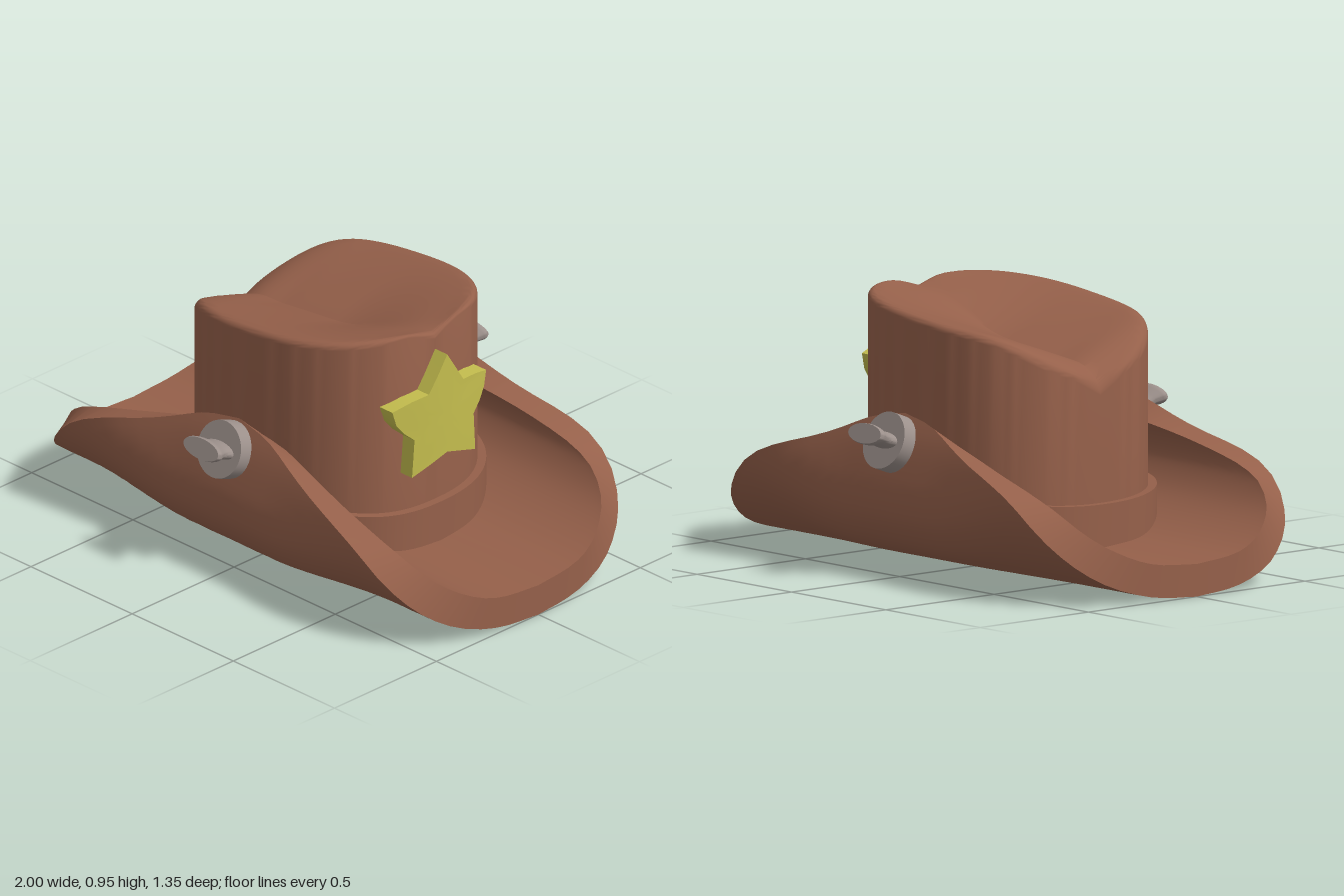
import * as THREE from 'three';
import { toCreasedNormals } from 'three/addons/utils/BufferGeometryUtils.js';

const N = 96; // points around the large rings
const brown = new THREE.MeshStandardMaterial({ color: 0x95604a });
const inside = new THREE.MeshStandardMaterial({ color: 0x95604a, side: THREE.DoubleSide });
const yellow = new THREE.MeshStandardMaterial({ color: 0xc4bd4e });
const grey = new THREE.MeshStandardMaterial({ color: 0x9c908b });
const { lerp, smoothstep } = THREE.MathUtils;
const V = (x, y, z = 0) => new THREE.Vector3(x, y, z);
const curve = pts => new THREE.CatmullRomCurve3(pts.map(p => V(p[0], p[1])));

function add(parent, name, geo, mat) {
  const m = new THREE.Mesh(geo, mat);
  m.name = name;
  parent.add(m);
  return m;
}

// Skin a list of closed rings (outward when the rings go upwards)
function loft(rings, crease = 0.6) {
  const pos = [];
  const tri = (a, b, c) => {
    if (a.distanceTo(b) < 1e-6 || b.distanceTo(c) < 1e-6 || a.distanceTo(c) < 1e-6) return;
    for (const p of [a, b, c]) pos.push(p.x, p.y, p.z);
  };
  for (let i = 0; i + 1 < rings.length; i++) {
    const lo = rings[i], hi = rings[i + 1];
    for (let j = 0; j < lo.length; j++) {
      const k = (j + 1) % lo.length;
      tri(lo[j], hi[j], lo[k]);
      tri(lo[k], hi[j], hi[k]);
    }
  }
  const g = new THREE.BufferGeometry();
  g.setAttribute('position', new THREE.Float32BufferAttribute(pos, 3));
  g.computeVertexNormals();
  return toCreasedNormals(g, crease);
}

// Rounded oval ring with height given by a function of x and z
function oval(a, b, height, n = 2.6) {
  return Array.from({ length: N }, (_, j) => {
    const t = (j / N) * Math.PI * 2;
    const f = v => (Math.abs(v) < 1e-9 ? 0 : Math.sign(v) * Math.abs(v) ** (2 / n));
    const x = a * f(Math.cos(t)), z = b * f(Math.sin(t));
    return V(x, height(x, z), z);
  });
}

// Brim: an oval sheet with a hole, curled up at both sides
function brimGeometry() {
  // half cross-sections (z, y): under face at the ends and in the middle, and upper face
  const underEnd = curve([[0, 0], [0.2, 0.018], [0.38, 0.075], [0.5, 0.16], [0.57, 0.26],
    [0.592, 0.36], [0.578, 0.46], [0.54, 0.525], [0.475, 0.575]]);
  const underMid = curve([[0, 0], [0.2, 0.018], [0.39, 0.06], [0.51, 0.11], [0.567, 0.2],
    [0.572, 0.29], [0.55, 0.39], [0.517, 0.49], [0.475, 0.575]]);
  const upper = curve([[0, 0.115], [0.2, 0.135], [0.33, 0.185], [0.42, 0.25], [0.468, 0.32],
    [0.482, 0.37], [0.468, 0.42], [0.435, 0.465], [0.395, 0.5]]);
  // quarter outline of the flat sheet: (x, distance along the cross-section)
  const outline = curve([[1, 0], [0.997, 0.08], [0.98, 0.18], [0.93, 0.3], [0.85, 0.435],
    [0.7, 0.61], [0.5, 0.745], [0.3, 0.87], [0.15, 0.96], [0, 1]]);
  const ring = (isUnder, r) => Array.from({ length: N }, (_, j) => {
    const q = (4 * j) / N, quad = Math.floor(q), f = q - quad;
    const u = quad % 2 ? 1 - f : f;
    const sx = quad === 1 || quad === 2 ? -1 : 1, sz = quad > 1 ? -1 : 1;
    const o = outline.getPoint(u);
    const x = lerp(0.44 * Math.cos(u * Math.PI / 2), o.x, r);
    const t = Math.min(1, lerp((isUnder ? 0.23 : 0.29) * Math.sin(u * Math.PI / 2), o.y, r));
    const p = isUnder
      ? underEnd.getPoint(t).lerp(underMid.getPoint(t), 1 - smoothstep(x, 0.2, 0.75))
      : upper.getPoint(t);
    return V(sx * x, p.y, sz * p.x);
  });
  const steps = Array.from({ length: 21 }, (_, i) => i / 20);
  const rings = [...steps.map(r => ring(true, r)), ...steps.reverse().map(r => ring(false, r))];
  rings.push(rings[0]);
  return loft(rings);
}

// Height of the crown's top: highest at the rim, falling to a crease along the middle
function crownTop(x, z) {
  const back = Math.max(0, (-0.2 - x) / 0.29);
  const half = 0.385 * Math.max(0.06, 1 - Math.abs(x / 0.49) ** 2.6) ** (1 / 2.6);
  const w = Math.min(1, Math.abs(z) / half);
  const depth = 0.12 - 0.08 * smoothstep(x, 0, 0.45) - 0.06 * smoothstep(-x, 0.25, 0.49);
  return 0.905 + 0.11 * x - 0.12 * back ** 3 - depth * (1 - w) ** 1.2;
}

function crownGeometry() {
  const A = 0.49, B = 0.418, R = 0.025;
  const rings = [oval(A, B, (x, z) => 0.08 + 0.5 * z * z)];
  // rounded shoulder
  for (let i = 0; i <= 6; i++) {
    const t = (i / 6) * Math.PI / 2, inset = R * (1 - Math.cos(t));
    rings.push(oval(A - inset, B - inset, (x, z) => crownTop(x, z) - R * (1 - Math.sin(t))));
  }
  for (let i = 15; i >= 0; i--) {
    rings.push(oval((A - R) * i / 16, (B - R) * i / 16, crownTop));
  }
  return loft(rings);
}

// Five-pointed star plate, bent around the crown
function starGeometry() {
  const half = [[0, 0.855], [0.045, 0.785], [0.085, 0.725], [0.155, 0.717], [0.23, 0.695], [0.215, 0.64],
    [0.185, 0.6], [0.145, 0.565], [0.15, 0.49], [0.155, 0.42], [0.08, 0.448], [0, 0.473]];
  const pts = [...half.map(([z, y]) => [-z, y]), ...half.slice(1, -1).reverse()];
  const ring = (x, s) => pts.map(([z, y]) => V(x - 0.75 * (z * s) ** 2, 0.62 + (y - 0.62) * s, z * s));
  const scales = [1, 0.75, 0.5, 0.25, 0];
  return loft([...[...scales].reverse().map(s => ring(0.475, s)), ...scales.map(s => ring(0.55, s))], 0.5);
}

// Side fastener, built along +y and then tilted outwards
function fastener(side) {
  const g = new THREE.Group();
  g.name = side > 0 ? 'leftFastener' : 'rightFastener';
  add(g, 'fastenerDisc', new THREE.CylinderGeometry(0.103, 0.103, 0.075, 40), grey).position.y = -0.0375;
  const pin = add(g, 'fastenerPin', new THREE.CylinderGeometry(0.05, 0.05, 0.15, 24), brown);
  pin.position.y = -0.135;
  const profile = [[0.072, -0.01], [0.068, 0.025], [0.073, 0.05], [0.088, 0.075], [0.09, 0.085], [0.085, 0.095], [0, 0.095]];
  const handle = new THREE.LatheGeometry(profile.map(p => new THREE.Vector2(...p)), 40);
  add(g, 'fastenerHandle', toCreasedNormals(handle.scale(1, 1, 0.42), 0.7), grey);
  g.position.set(0, 0.49, side * 0.574);
  g.rotation.x = side * (Math.PI / 2 - 0.36);
  return g;
}

export function createModel() {
  const hat = new THREE.Group();
  hat.name = 'hat';
  add(hat, 'brim', brimGeometry(), brown);
  add(hat, 'crown', crownGeometry(), brown);

  // Hat band with a top edge that rises towards the sides
  const top = (x, z) => 0.267 + 0.2 * z * z;
  add(hat, 'band', loft([
    oval(0.52, 0.445, (x, z) => 0.07 + 0.5 * z * z), oval(0.52, 0.445, top), oval(0.48, 0.41, top),
  ]), brown);

  // Hollow under the crown, its ceiling following the top
  const ceiling = (x, z) => crownTop(x, z) - 0.06;
  add(hat, 'hollow', loft([
    oval(0.45, 0.38, (x, z) => 0.08 + 0.6 * z * z, 2.3),
    ...[1, 0.75, 0.5, 0.25, 0].map(s => oval(0.45 * s, 0.38 * s, ceiling, 2.3)),
  ]), inside);

  add(hat, 'star', starGeometry(), yellow);
  hat.add(fastener(1), fastener(-1));
  return hat;
}
